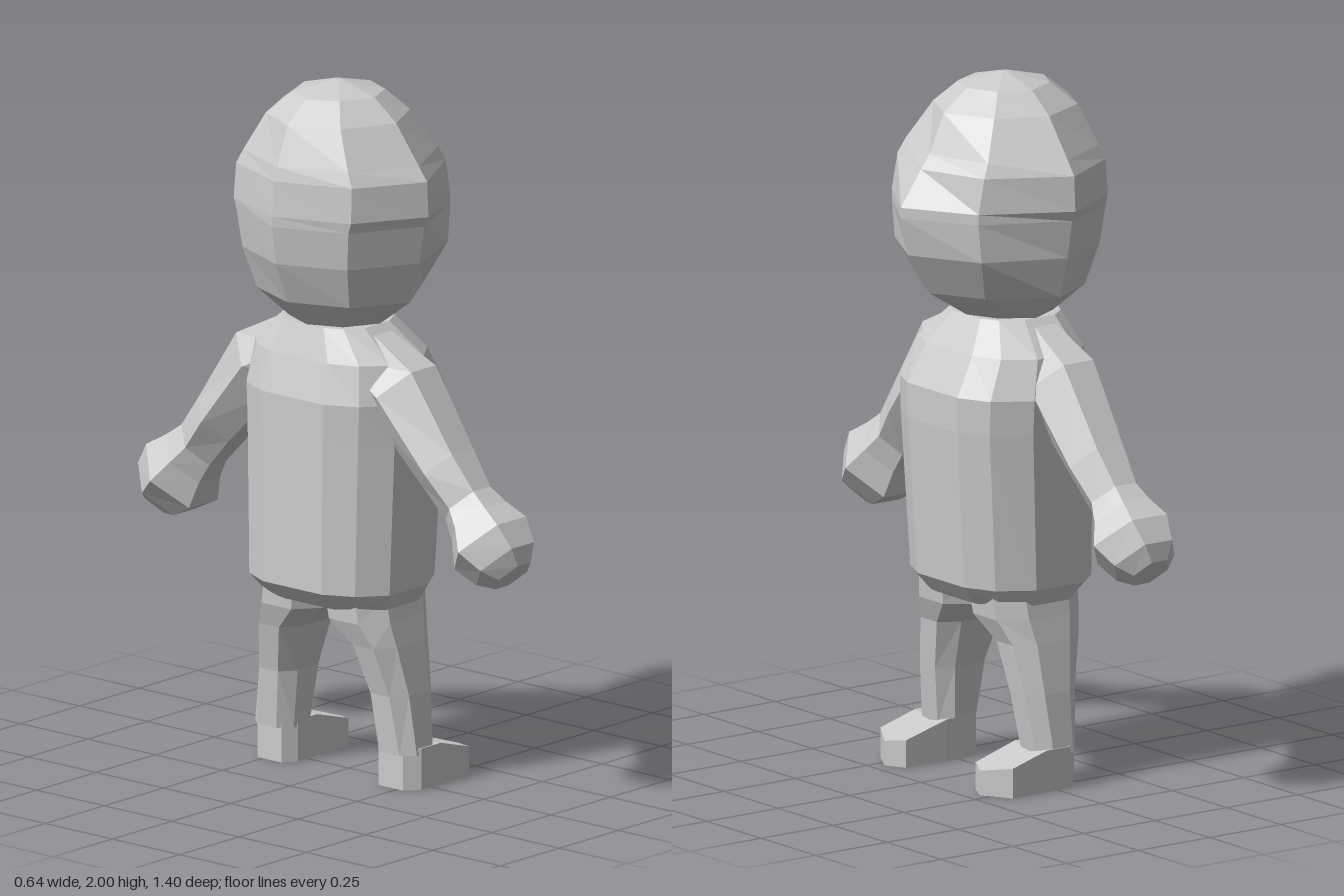
import * as THREE from 'three';

const material = new THREE.MeshStandardMaterial({ color: 0xcccccc, flatShading: true });

// Skin a stack of equal-length rings of [x, y, z] points and close both ends.
function loft(name, rings) {
  const n = rings[0].length;
  const pos = rings.flat(2);
  const index = [];
  for (let r = 0; r < rings.length - 1; r++) {
    for (let i = 0; i < n; i++) {
      const a = r * n + i, b = r * n + (i + 1) % n;
      index.push(a, b, b + n, a, b + n, a + n);
    }
  }
  [0, rings.length - 1].forEach((r, end) => {
    const c = pos.length / 3;
    for (let k = 0; k < 3; k++) pos.push(rings[r].reduce((s, p) => s + p[k], 0) / n);
    for (let i = 0; i < n; i++) {
      const a = r * n + i, b = r * n + (i + 1) % n;
      index.push(...(end ? [a, b, c] : [b, a, c]));
    }
  });
  // Signed volume tells whether the faces point outwards.
  const v = (i) => new THREE.Vector3().fromArray(pos, i * 3);
  let volume = 0;
  for (let i = 0; i < index.length; i += 3) {
    volume += v(index[i]).dot(v(index[i + 1]).cross(v(index[i + 2])));
  }
  if (volume < 0) index.reverse();
  const indexed = new THREE.BufferGeometry();
  indexed.setAttribute('position', new THREE.Float32BufferAttribute(pos, 3));
  indexed.setIndex(index);
  const geometry = indexed.toNonIndexed();
  geometry.computeVertexNormals();
  const mesh = new THREE.Mesh(geometry, material);
  mesh.name = name;
  return mesh;
}

// Complete a ring from its +z half, listed front to back.
function mirrorRing(half) {
  const other = half.filter((p) => p[2] > 0).reverse().map(([x, y, z]) => [x, y, -z]);
  return [...half, ...other];
}

// Head: pointed face towards +x, ear bulge at the sides.
function makeHead() {
  // y, back x, face x, half width, face corner x, face corner z
  const rows = [
    [1.32, -0.18, 0.09, 0.15, 0.05, 0.09],
    [1.40, -0.26, 0.22, 0.26, 0.14, 0.15],
    [1.52, -0.31, 0.295, 0.295, 0.19, 0.2],
    [1.63, -0.325, 0.32, 0.315, 0.2, 0.2],
    [1.66, -0.325, 0.32, 0.33, 0.2, 0.2],
    [1.76, -0.315, 0.25, 0.325, 0.18, 0.2],
    [1.80, -0.305, 0.22, 0.295, 0.16, 0.19],
    [1.91, -0.26, 0.17, 0.21, 0.1, 0.14],
    [1.97, -0.18, 0.09, 0.13, 0.05, 0.09],
    [2.00, -0.06, -0.03, 0.015, -0.035, 0.01],
  ];
  return loft('head', rows.map(([y, xb, xf, w, cx, cz]) => mirrorRing([
    [xf, y, 0], [cx, y, cz], [-0.04, y, w],
    [-0.04 + (xb + 0.04) * 0.7, y, w * 0.66], [xb, y, 0],
  ])));
}

// Torso: flat front and back with chamfered sides.
function makeTorso() {
  // y, back x, front x, half width
  const rows = [
    [0.51, -0.17, 0.12, 0.21],
    [0.52, -0.19, 0.14, 0.23],
    [0.57, -0.24, 0.18, 0.258],
    [1.02, -0.24, 0.21, 0.27],
    [1.12, -0.24, 0.21, 0.275],
    [1.23, -0.21, 0.15, 0.25],
    [1.32, -0.18, 0.09, 0.15],
  ];
  return loft('torso', rows.map(([y, xb, xf, w]) => {
    const d = xf - xb;
    return mirrorRing([
      [xf, y, w * 0.42], [xf - d * 0.1, y, w * 0.76], [xf - d * 0.33, y, w],
      [xb + d * 0.28, y, w], [xb + d * 0.1, y, w * 0.76], [xb, y, w * 0.42],
    ]);
  }));
}

// Arm and hand: hexagonal sections square to the sloping arm.
function makeArm(name, side) {
  // centre z, centre y, half depth in x, half thickness
  const rows = [
    [0.08, 1.23, 0.08, 0.11],
    [0.25, 1.15, 0.115, 0.105],
    [0.415, 0.955, 0.1, 0.078],
    [0.49, 0.865, 0.08, 0.072],
    [0.53, 0.82, 0.1, 0.085],
    [0.572, 0.765, 0.135, 0.112],
    [0.628, 0.715, 0.105, 0.092],
    [0.657, 0.685, 0.06, 0.058],
  ];
  return loft(name, rows.map(([z, y, hx, hp]) =>
    [[0.45, 1], [1, 0], [0.45, -1], [-0.45, -1], [-1, 0], [-0.45, 1]].map(([u, v]) =>
      [-0.055 + u * hx, y + v * hp * 0.7, side * (z + v * hp * 0.71)])));
}

// Leg: chamfered box sections, tapering to the ankle.
function makeLeg(name, side) {
  // y, back x, front x, inner z, outer z
  const rows = [
    [0.56, -0.17, 0.13, 0.005, 0.22],
    [0.48, -0.165, 0.12, 0.015, 0.235],
    [0.41, -0.14, 0.09, 0.1, 0.25],
    [0.27, -0.105, 0.07, 0.137, 0.277],
    [0.10, -0.088, 0.045, 0.157, 0.3],
  ];
  return loft(name, rows.map(([y, x0, x1, z0, z1]) => {
    const cx = (x1 - x0) * 0.25, cz = (z1 - z0) * 0.25;
    return [
      [x1, z0 + cz], [x1, z1 - cz], [x1 - cx, z1], [x0 + cx, z1],
      [x0, z1 - cz], [x0, z0 + cz], [x0 + cx, z0], [x1 - cx, z0],
    ].map(([x, z]) => [x, y, side * z]);
  }));
}

// Foot: flat sole, instep sloping down to the toe.
function makeFoot(name, side) {
  const outline = [
    [-0.08, 0.18], [-0.08, 0.27], [-0.04, 0.305], [0.04, 0.305],
    [0.16, 0.305], [0.21, 0.22], [0.18, 0.16], [0.04, 0.155], [-0.04, 0.155],
  ];
  const top = (x) => 0.12 - Math.max(0, x - 0.04) * 0.29;
  return loft(name, [
    outline.map(([x, z]) => [x, 0, side * z]),
    outline.map(([x, z]) => [x, top(x), side * z]),
  ]);
}

export function createModel() {
  const model = new THREE.Group();
  model.name = 'figure';
  model.add(makeHead(), makeTorso());
  // The figure faces +x, so its limbs are mirrored across z.
  for (const [label, side] of [['near', 1], ['far', -1]]) {
    model.add(
      makeArm(label + 'Arm', side),
      makeLeg(label + 'Leg', side),
      makeFoot(label + 'Foot', side),
    );
  }
  return model;
}
